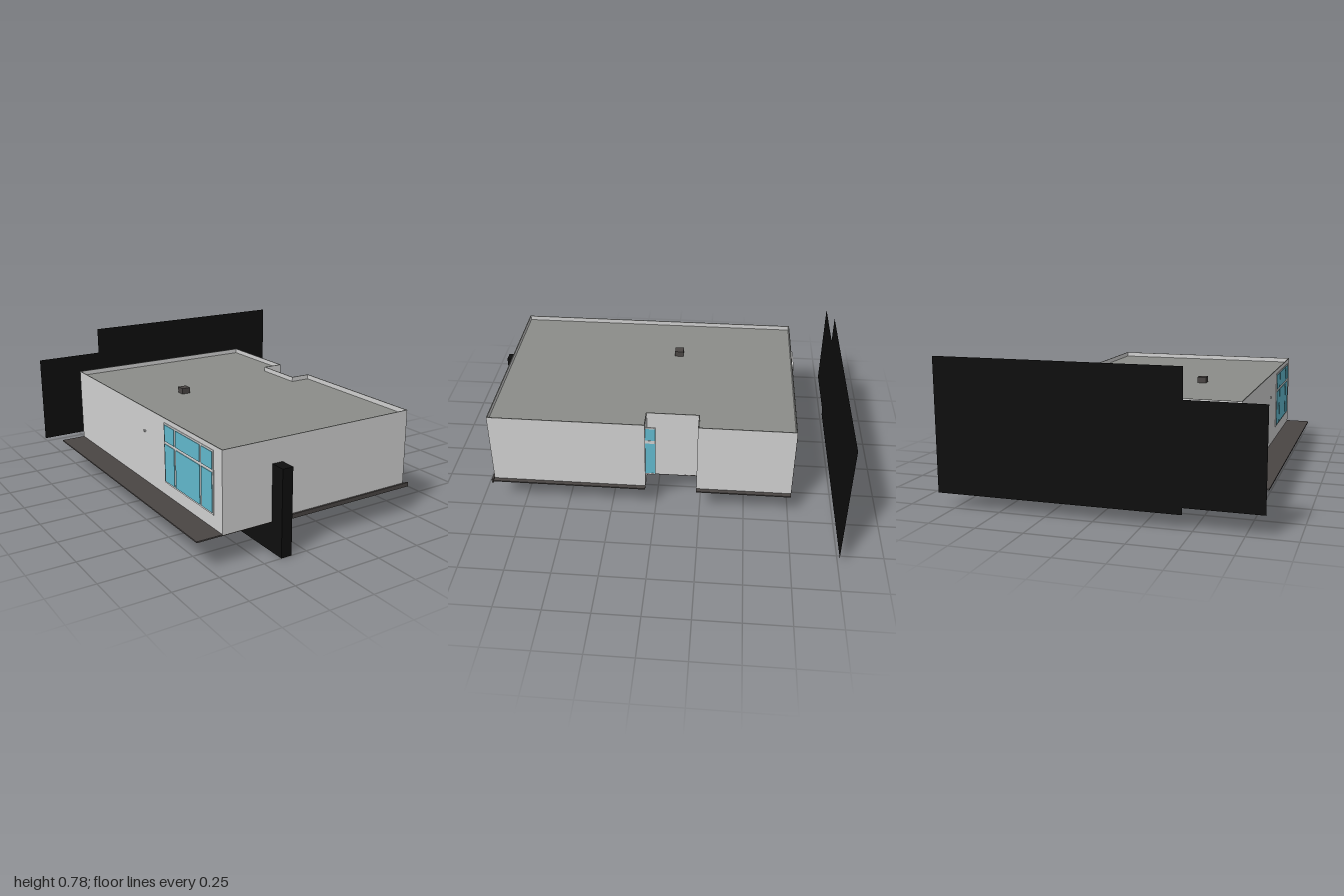
import * as THREE from 'three';

const mat = (name, color, double) => {
  const m = new THREE.MeshStandardMaterial({ color });
  m.name = name;
  if (double) m.side = THREE.DoubleSide;
  return m;
};

export function createModel() {
  const model = new THREE.Group();
  const wall = mat('light wall', 0xd2d2d2);
  const roofGrey = mat('roof grey', 0x8b8d89);
  const dark = mat('dark stone', 0x4a4644);
  const black = mat('black panel', 0x0e0e0e, true);
  const glass = mat('blue glass', 0x62bace);

  const add = (name, geometry, material, parent = model) => {
    const mesh = new THREE.Mesh(geometry, material);
    mesh.name = name;
    parent.add(mesh);
    return mesh;
  };
  // Box given by its minimum and maximum corners
  const box = (name, material, [x0, y0, z0], [x1, y1, z1], parent) => {
    const g = new THREE.BoxGeometry(x1 - x0, y1 - y0, z1 - z0);
    g.translate((x0 + x1) / 2, (y0 + y1) / 2, (z0 + z1) / 2);
    return add(name, g, material, parent);
  };

  // Floor plan with the entrance notch on the +x side, shrunk by an inset
  const plan = (left, right, inset = 0) => [
    [left + inset, 0.915 - inset], [right - inset, 0.915 - inset],
    [right - inset, 0.055 + inset], [0.34 - inset, 0.055 + inset],
    [0.34 - inset, -0.23 - inset], [right - inset, -0.23 - inset],
    [right - inset, -0.755 + inset], [left + inset, -0.755 + inset],
  ].map(([x, z]) => new THREE.Vector2(x, -z));
  const prism = (outline, y0, y1, hole) => {
    const shape = new THREE.Shape(outline);
    if (hole) shape.holes.push(new THREE.Path(hole));
    const g = new THREE.ExtrudeGeometry(shape, { depth: y1 - y0, bevelEnabled: false });
    return g.rotateX(-Math.PI / 2).translate(0, y0, 0);
  };

  // House shell, sunken roof and floor slab
  add('walls', prism(plan(-0.68, 0.455), 0.162, 0.585, plan(-0.68, 0.455, 0.005)), wall);
  add('roof', prism(plan(-0.68, 0.455, 0.005), 0.54, 0.56), roofGrey);
  add('parapetCap', prism(plan(-0.68, 0.455), 0.585, 0.586, plan(-0.68, 0.455, 0.005)), roofGrey);
  add('floorSlab', prism(plan(-0.82, 0.48), 0.158, 0.165), dark);
  box('frontLip', dark, [-0.34, 0.152, 0.915], [0.485, 0.175, 0.925]);
  box('roofVent', dark, [-0.35, 0.56, -0.105], [-0.3, 0.592, -0.055]);
  box('wallLamp', wall, [-0.688, 0.45, 0.125], [-0.68, 0.46, 0.135]);

  // L-shaped support at the front
  box('pillar', black, [-0.4, 0, 0.915], [-0.34, 0.462, 1]);
  box('pillarFoot', black, [-0.4, 0, 0.5], [-0.34, 0.158, 0.915]);

  // Thin free-standing screens behind the house
  for (const [name, x0, x1, y0, y1] of [
    ['largeScreen', -0.45, 0.84, 0.075, 0.78],
    ['smallScreen', -0.845, -0.45, 0.11, 0.625],
  ]) {
    const g = new THREE.PlaneGeometry(x1 - x0, y1 - y0);
    add(name, g.translate((x0 + x1) / 2, (y0 + y1) / 2, -1), black);
  }

  // Side window: three columns with a transom, set on the -x wall
  const sideWindow = new THREE.Group();
  sideWindow.name = 'sideWindow';
  model.add(sideWindow);
  box('frame', wall, [-0.683, 0.235, 0.35], [-0.679, 0.562, 0.84], sideWindow);
  for (const [z0, z1] of [[0.36, 0.46], [0.475, 0.715], [0.73, 0.83]]) {
    for (const [y0, y1] of [[0.245, 0.45], [0.465, 0.553]]) {
      box('pane', glass, [-0.686, y0, z0], [-0.682, y1, z1], sideWindow);
    }
  }

  // Back wall: dark cladding, window and entrance
  box('backCladding', dark, [-0.675, 0.165, -0.758], [0.45, 0.572, -0.754]);
  const backWindow = new THREE.Group();
  backWindow.name = 'backWindow';
  model.add(backWindow);
  box('frame', wall, [-0.678, 0.185, -0.761], [-0.385, 0.5, -0.757], backWindow);
  for (const [x0, x1] of [[-0.665, -0.58], [-0.57, -0.4]]) {
    for (const [y0, y1] of [[0.2, 0.42], [0.435, 0.49]]) {
      box('pane', glass, [x0, y0, -0.764], [x1, y1, -0.76], backWindow);
    }
  }
  box('doorFrame', wall, [-0.38, 0.165, -0.764], [-0.21, 0.575, -0.757]);
  box('door', black, [-0.31, 0.165, -0.768], [-0.235, 0.5, -0.763]);

  // Open casement standing in the notch
  const casement = new THREE.Group();
  casement.name = 'casement';
  model.add(casement);
  box('lowerPane', glass, [0.432, 0.245, 0], [0.438, 0.452, 0.055], casement);
  box('upperPane', glass, [0.432, 0.472, 0], [0.438, 0.55, 0.055], casement);
  for (const [y0, y1] of [[0.237, 0.245], [0.452, 0.472], [0.55, 0.558]]) {
    box('rail', wall, [0.431, y0, 0], [0.439, y1, 0.055], casement);
  }
  return model;
}
